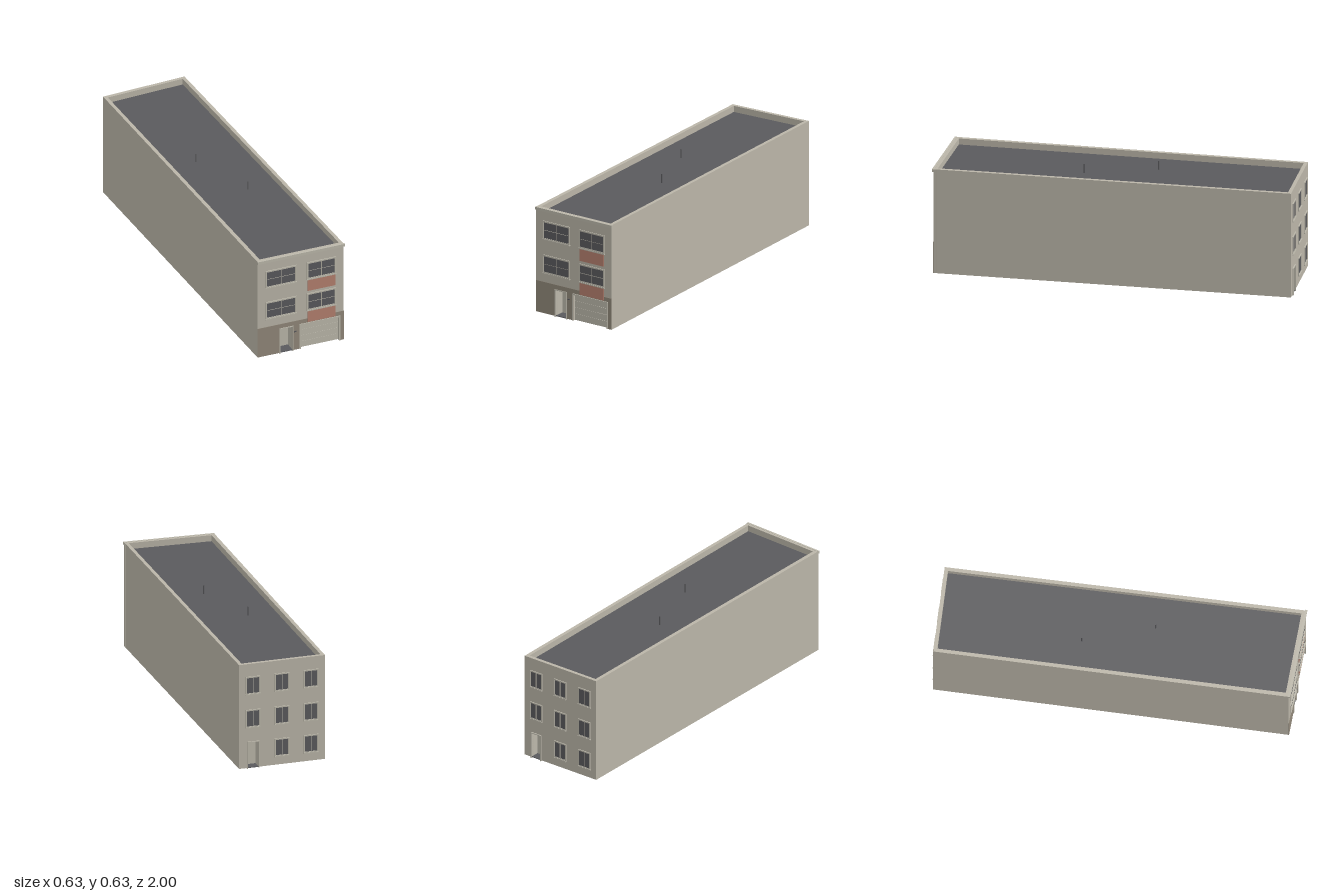
import * as THREE from 'three';

const mat = (name, color) => {
  const m = new THREE.MeshStandardMaterial({ color });
  m.name = name;
  return m;
};

export function createModel() {
  const plaster = mat('plaster', 0xbab5a8);
  const trim = mat('trim', 0xbcb8ab);
  const stone = mat('stone base', 0x91887a);
  const dark = mat('dark grey', 0x5a5a5d);
  const terracotta = mat('terracotta', 0xb5806f);

  const model = new THREE.Group();
  model.name = 'building';

  const add = (parent, name, geo, material) => {
    const mesh = new THREE.Mesh(geo, material);
    mesh.name = name;
    parent.add(mesh);
    return mesh;
  };
  // Box given by its limits
  const box = (parent, name, material, x0, x1, y0, y1, z0, z1) => {
    const m = add(parent, name, new THREE.BoxGeometry(x1 - x0, y1 - y0, z1 - z0), material);
    m.position.set((x0 + x1) / 2, (y0 + y1) / 2, (z0 + z1) / 2);
    return m;
  };
  // Upright prism over a ground polygon of [x, z] corners
  const prism = (name, material, corners, y0, y1) => {
    const shape = new THREE.Shape(corners.map(([x, z]) => new THREE.Vector2(x, -z)));
    const geo = new THREE.ExtrudeGeometry(shape, { depth: y1 - y0, bevelEnabled: false });
    geo.rotateX(-Math.PI / 2).translate(0, y0, 0);
    return add(model, name, geo, material);
  };

  const BASE = 0.004, TOP = 0.61, ROOF = 0.575, THICK = 0.02;
  // Skewed footprint: outer corners and inner corners of the walls
  const FL = [-0.202, 0.992], FR = [0.308, 0.988], BR = [0.18, -0.994], BL = [-0.313, -0.962];
  const fl = [-0.181, 0.972], fr = [0.287, 0.968], br = [0.161, -0.973], bl = [-0.292, -0.943];

  prism('rightWall', plaster, [FR, BR, br, fr], BASE, TOP);
  prism('leftWall', plaster, [BL, FL, fl, bl], BASE, TOP);
  prism('roof', dark, [fl, fr, br, bl], ROOF - 0.005, ROOF);

  // Facade group: local x runs along the wall, local z points outwards, x = 0 on the centre plane
  const facade = (name, a, b) => {
    const g = new THREE.Group();
    g.name = name;
    const dx = b[0] - a[0], dz = b[1] - a[1];
    const t = -a[0] / dx, len = Math.hypot(dx, dz);
    g.position.set(0, 0, a[1] + dz * t);
    g.rotation.y = Math.atan2(-dz, dx);
    model.add(g);
    return { g, u0: -t * len, u1: (1 - t) * len };
  };
  // Flat wall with openings that reach down to the ground
  const wall = (parent, name, material, u0, u1, y0, y1, openings, depth, z) => {
    const s = new THREE.Shape();
    s.moveTo(u0, y0);
    for (const [a, b, h] of openings) s.lineTo(a, y0).lineTo(a, h).lineTo(b, h).lineTo(b, y0);
    s.lineTo(u1, y0).lineTo(u1, y1).lineTo(u0, y1);
    const geo = new THREE.ExtrudeGeometry(s, { depth, bevelEnabled: false });
    add(parent, name, geo, material).position.z = z;
  };
  // Frame of two posts and a lintel
  const doorFrame = (parent, name, [a, b, h], w, y0, z0, z1) => {
    box(parent, name + 'Post', trim, a - w, a, y0, h + w, z0, z1);
    box(parent, name + 'Post', trim, b, b + w, y0, h + w, z0, z1);
    box(parent, name + 'Lintel', trim, a, b, h, h + w, z0, z1);
  };
  // Recessed entrance with side walls, ceiling, dark threshold and door leaf
  const entrance = (parent, name, o, depth) => {
    const [a, b, h] = o;
    doorFrame(parent, name + 'Frame', o, 0.005, 0, -0.004, 0.006);
    box(parent, name + 'Jamb', trim, a - 0.003, a, BASE, h, -depth, -0.004);
    box(parent, name + 'Jamb', trim, b, b + 0.003, BASE, h, -depth, -0.004);
    box(parent, name + 'Ceiling', trim, a, b, h, h + 0.003, -depth, -0.004);
    box(parent, name + 'Threshold', dark, a, b, 0.003, 0.007, -depth, 0);
    box(parent, name + 'Leaf', trim, a, b, 0.007, h, -depth - 0.004, -depth);
  };
  // Window: glass, border, glazing bars and projecting sill
  const windowUnit = (parent, x0, x1, y0, y1, w, crossBar) => {
    const g = new THREE.Group();
    g.name = 'window';
    parent.add(g);
    const xm = (x0 + x1) / 2, ym = (y0 + y1) / 2;
    box(g, 'glass', dark, x0 + w, x1 - w, y0 + w, y1 - w, -0.001, 0.002);
    box(g, 'frameSide', trim, x0, x0 + w, y0, y1, -0.001, 0.005);
    box(g, 'frameSide', trim, x1 - w, x1, y0, y1, -0.001, 0.005);
    box(g, 'frameTop', trim, x0 + w, x1 - w, y1 - w, y1, -0.001, 0.005);
    box(g, 'frameBottom', trim, x0 + w, x1 - w, y0, y0 + w, -0.001, 0.005);
    box(g, 'mullion', trim, xm - 0.0015, xm + 0.0015, y0 + w, y1 - w, 0.001, 0.0035);
    if (crossBar) box(g, 'glazingBar', trim, x0 + w, x1 - w, ym - 0.001, ym + 0.001, 0.001, 0.003);
    box(g, 'sill', trim, x0 - 0.001, x1 + 0.001, y0 - 0.003, y0 + 0.003, -0.001, 0.008);
  };

  // Front facade with stone base, entrance, garage and cornice
  const front = facade('frontFacade', FL, FR);
  const door = [-0.068, 0.004, 0.154], garage = [0.053, 0.278, 0.152];
  const f = front.g;
  wall(f, 'frontWall', plaster, front.u0 + 0.001, front.u1 - 0.001, BASE, TOP, [door, garage], THICK, -THICK);
  wall(f, 'stoneBase', stone, front.u0, front.u1, BASE, 0.185, [door, garage], 0.002, 0);
  box(f, 'cornice', trim, front.u0 - 0.001, front.u1 + 0.004, 0.595, TOP + 0.001, -0.004, 0.008);
  entrance(f, 'frontDoor', door, 0.06);
  doorFrame(f, 'garageFrame', garage, 0.008, BASE, -0.012, 0.006);
  box(f, 'garageBacking', trim, garage[0], garage[1], BASE, garage[2], -0.018, -0.014);
  for (let i = 0; i < 4; i++) {
    const y = BASE + i * 0.037;
    box(f, 'garagePanel', trim, garage[0], garage[1], y, y + 0.0362, -0.014, -0.012);
  }
  box(f, 'letterPlate', dark, 0.013, 0.027, 0.117, 0.123, 0, 0.006);
  for (const y of [0.236, 0.433]) {
    windowUnit(f, -0.155, 0.028, y, y + 0.107, 0.0085, true);
    windowUnit(f, 0.089, 0.262, y, y + 0.107, 0.0085, true);
    box(f, 'terracottaPanel', terracotta, 0.094, 0.257, y - 0.073, y - 0.003, 0, 0.004);
  }

  // Back facade with three window columns and a door
  const back = facade('backFacade', BR, BL);
  const b = back.g;
  const backDoor = [-0.13, -0.069, 0.152];
  wall(b, 'backWall', plaster, back.u0 + 0.001, back.u1 - 0.001, BASE, TOP, [backDoor], THICK, -THICK);
  entrance(b, 'backDoor', backDoor, 0.05);
  for (const y of [0.053, 0.24, 0.433]) {
    for (const u of [-0.1, 0.066, 0.233]) {
      if (y < 0.1 && u < 0) continue;
      windowUnit(b, u - 0.042, u + 0.042, y, y + 0.103, 0.007, false);
    }
  }

  // Roof vent pipes
  for (const [x, z] of [[-0.085, -0.18], [0.066, 0.2]]) {
    const pipe = add(model, 'ventPipe', new THREE.CylinderGeometry(0.004, 0.004, 0.053, 12), dark);
    pipe.position.set(x, ROOF + 0.0255, z);
  }
  return model;
}
